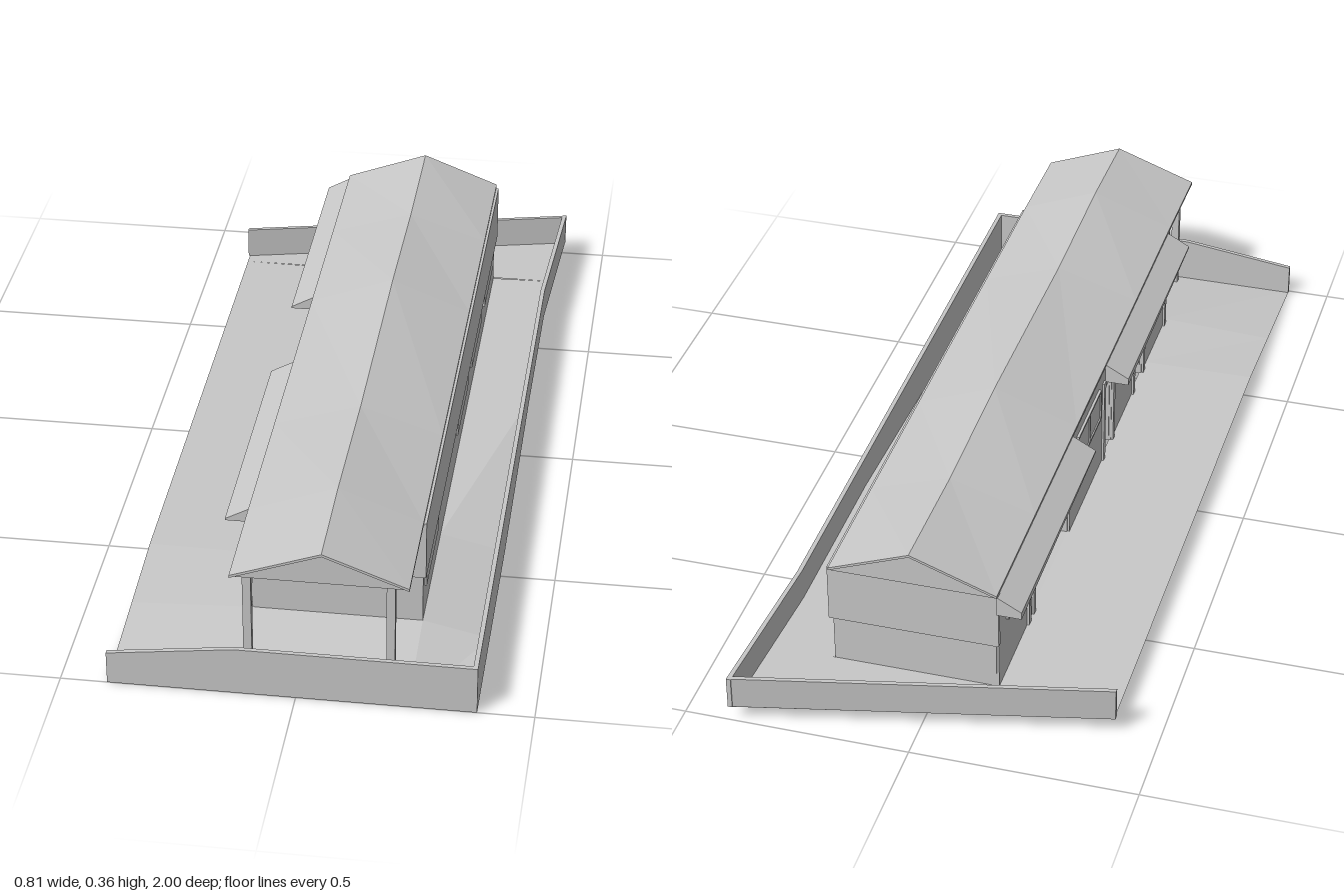
import * as THREE from 'three';

const grey = new THREE.MeshStandardMaterial({ color: 0xc8c8c8, side: THREE.DoubleSide });
grey.name = 'plain grey';

const FLOOR = 0.033; // ground height around the building
const ramp = (z, from, to) => THREE.MathUtils.clamp((from - z) / (from - to), 0, 1);
// ground heights along the walled side, the open side and the building
const walledSideY = z => 0.035 * ramp(z, 0.4, -0.2);
const openSideY = z => 0.035 * ramp(z, 1, 0.53);
const middleY = z => FLOOR * ramp(z, 1, 0.735);
const groundY = (x, z) => (x < -0.39 ? openSideY(z) : x > 0.37 ? walledSideY(z) : middleY(z));
// walled edge of the plot in plan
const edgeX = z => (z > -0.6 ? 0.38 : 0.38 + (-0.6 - z) * 0.055);

export function createModel() {
  const model = new THREE.Group();

  function add(name, geometry, parent = model) {
    const mesh = new THREE.Mesh(geometry, grey);
    mesh.name = name;
    parent.add(mesh);
    return mesh;
  }

  function group(name) {
    const g = new THREE.Group();
    g.name = name;
    model.add(g);
    return g;
  }

  // box given by its limits
  function box(name, x0, x1, y0, y1, z0, z1, parent) {
    const g = new THREE.BoxGeometry(x1 - x0, y1 - y0, z1 - z0);
    g.translate((x0 + x1) / 2, (y0 + y1) / 2, (z0 + z1) / 2);
    return add(name, g, parent);
  }

  // flat-sided skin through a row of matching closed cross-sections
  function loft(name, sections, parent) {
    const n = sections[0].length, pos = [];
    const tri = (...p) => p.forEach(v => pos.push(...v));
    for (let s = 0; s < sections.length - 1; s++) {
      const a = sections[s], b = sections[s + 1];
      for (let i = 0; i < n; i++) {
        const j = (i + 1) % n;
        tri(a[i], b[i], b[j]);
        tri(a[i], b[j], a[j]);
      }
    }
    const outline = sections[0].map(p => new THREE.Vector2(p[0] + p[2] * 0.3, p[1]));
    const last = sections[sections.length - 1];
    for (const [i, j, k] of THREE.ShapeUtils.triangulateShape(outline, [])) {
      tri(sections[0][i], sections[0][j], sections[0][k]);
      tri(last[k], last[j], last[i]);
    }
    const g = new THREE.BufferGeometry();
    g.setAttribute('position', new THREE.Float32BufferAttribute(pos, 3));
    g.computeVertexNormals();
    return add(name, g, parent);
  }

  // ground, open under the rooms but not under the recessed entrance
  const ground = group('ground');
  function patch(corners) {
    const p = corners.map(([x, z]) => [x, groundY(x, z), z]);
    const g = new THREE.BufferGeometry();
    g.setAttribute('position', new THREE.Float32BufferAttribute(
      [p[0], p[1], p[2], p[0], p[2], p[3]].flat(), 3));
    g.computeVertexNormals();
    add('groundPatch', g, ground);
  }
  const stations = [1, 0.735, 0.53, 0.4, -0.2, -0.5, -0.6, -0.78];
  for (let i = 0; i < stations.length - 1; i++) {
    const z0 = stations[i], z1 = stations[i + 1];
    patch([[-0.4, z0], [-0.13, z0], [-0.13, z1], [-0.4, z1]]);
    patch([[0.235, z0], [edgeX(z0), z0], [edgeX(z1), z1], [0.235, z1]]);
  }
  patch([[-0.13, 1], [0.235, 1], [0.235, 0.735], [-0.13, 0.735]]);
  patch([[-0.13, -0.2], [0.1, -0.2], [0.1, -0.5], [-0.13, -0.5]]);
  patch([[-0.4, -0.78], [edgeX(-0.78), -0.78], [0.4, -1], [-0.4, -0.82]]);

  // boundary walls on three sides of the plot
  const boundary = group('boundaryWalls');
  loft('sideWall', [1, 0.4, -0.2, -0.6, -1].map(z => {
    const x = edgeX(z), y = walledSideY(z);
    return [[x - 0.01, y, z], [x, y, z], [x, 0.11, z], [x - 0.01, 0.11, z]];
  }), boundary);
  function acrossWall(name, points) {
    loft(name, points.map(([x, z, y, top]) =>
      [[x, y, z], [x, top, z], [x, top, z + 0.01], [x, y, z + 0.01]]), boundary);
  }
  acrossWall('frontWall', [[-0.4, 0.99, 0, 0.075], [-0.13, 0.99, 0, 0.11], [0.38, 0.99, 0, 0.11]]);
  acrossWall('backWall', [[-0.403, -0.82, 0.035, 0.11], [0.402, -1, 0.035, 0.11]]);

  // building walls; the upper storey slightly overhangs the plinth
  const building = group('building');
  box('frontPlinth', -0.13, 0.235, FLOOR, 0.15, 0.723, 0.735, building);
  box('frontUpperWall', -0.138, 0.242, 0.15, 0.287, 0.733, 0.745, building);
  box('backPlinth', -0.13, 0.235, FLOOR, 0.15, -0.78, -0.768, building);
  box('backUpperWall', -0.138, 0.242, 0.15, 0.287, -0.79, -0.778, building);
  box('closedSidePlinth', 0.223, 0.235, FLOOR, 0.15, -0.768, 0.723, building);
  box('closedSideUpperWall', 0.23, 0.242, 0.15, 0.287, -0.778, 0.733, building);

  // low windows along the closed side
  for (const z of [0.59, -0.02, -0.325, -0.625])
    box('plinthWindow', 0.234, 0.239, 0.1, 0.143, z - 0.11, z + 0.11, building);

  // open side: wall panels between the recesses, lintels above them
  const recesses = [[0.48, 0.4, 0.035, 0.22], [0.18, 0.11, 0.035, 0.22], [-0.2, -0.5, 0.23, 0.25]];
  let from = 0.733;
  for (const [z0, z1, depth, top] of recesses) {
    const back = -0.13 + depth;
    box('openSidePanel', -0.135, -0.125, FLOOR, 0.287, z0, from, building);
    box('lintel', -0.135, -0.125, top, 0.287, z1, z0, building);
    box('recessBack', back, back + 0.008, FLOOR, top, z1, z0, building);
    for (const z of [z0, z1])
      box('recessCheek', -0.13, back, FLOOR, top, z - 0.003, z + 0.003, building);
    box('recessSoffit', -0.13, back, top, top + 0.005, z1, z0, building);
    from = z1;
  }
  box('openSidePanel', -0.135, -0.125, FLOOR, 0.287, -0.778, from, building);

  // flat pilasters beside the openings
  for (const z of [0.71, 0.49, 0.39, 0.19, 0.1, -0.51, -0.55])
    box('pilaster', -0.14, -0.13, FLOOR, 0.25, z - 0.008, z + 0.008, building);

  // windows on the open side: pane with frame bars
  const windows = group('openSideWindows');
  for (const [z, w] of [[-0.04, 0.2], [0.6, 0.14], [-0.66, 0.12]]) {
    box('windowPane', -0.138, -0.134, 0.175, 0.25, z - w / 2, z + w / 2, windows);
    for (const y of [0.172, 0.25])
      box('windowRail', -0.141, -0.134, y, y + 0.006, z - w / 2, z + w / 2, windows);
    for (const s of [-0.5, 0, 0.5])
      box('windowMullion', -0.141, -0.134, 0.175, 0.25, z + s * w - 0.003, z + s * w + 0.003, windows);
  }

  // gently sagging pitched roof with closed gables: depth, ridge and eave heights
  const roof = [[0.99, 0.358, 0.289], [0.75, 0.364, 0.293], [0.4, 0.353, 0.292],
    [-0.15, 0.363, 0.292], [-0.5, 0.353, 0.292], [-0.8, 0.362, 0.292]];
  loft('roofSheet', roof.map(([z, y, e]) => [
    [-0.137, e - 0.006, z], [0.055, y - 0.006, z], [0.236, e - 0.006, z],
    [0.236, e, z], [0.055, y, z], [-0.137, e, z]]));
  loft('gableAndCeiling', roof.map(([z, y]) => {
    const zz = THREE.MathUtils.clamp(z, -0.797, 0.987);
    return [[-0.137, 0.285, zz], [0.236, 0.285, zz], [0.055, y - 0.005, zz]];
  }));

  // wedge canopies over the entrances, undersides dipping to the back
  for (const [zf, zb] of [[0.735, 0.12], [-0.18, -0.795]]) {
    const section = (z, low) => [[-0.19, low, z], [-0.135, low, z], [-0.135, 0.286, z], [-0.19, 0.256, z]];
    loft('canopy', [section(zf, 0.252), section(zb, 0.239)]);
  }

  // porch posts
  for (const x of [-0.104, 0.196])
    box('porchPost', x - 0.009, x + 0.009, 0, 0.287, 0.957, 0.973);

  return model;
}
